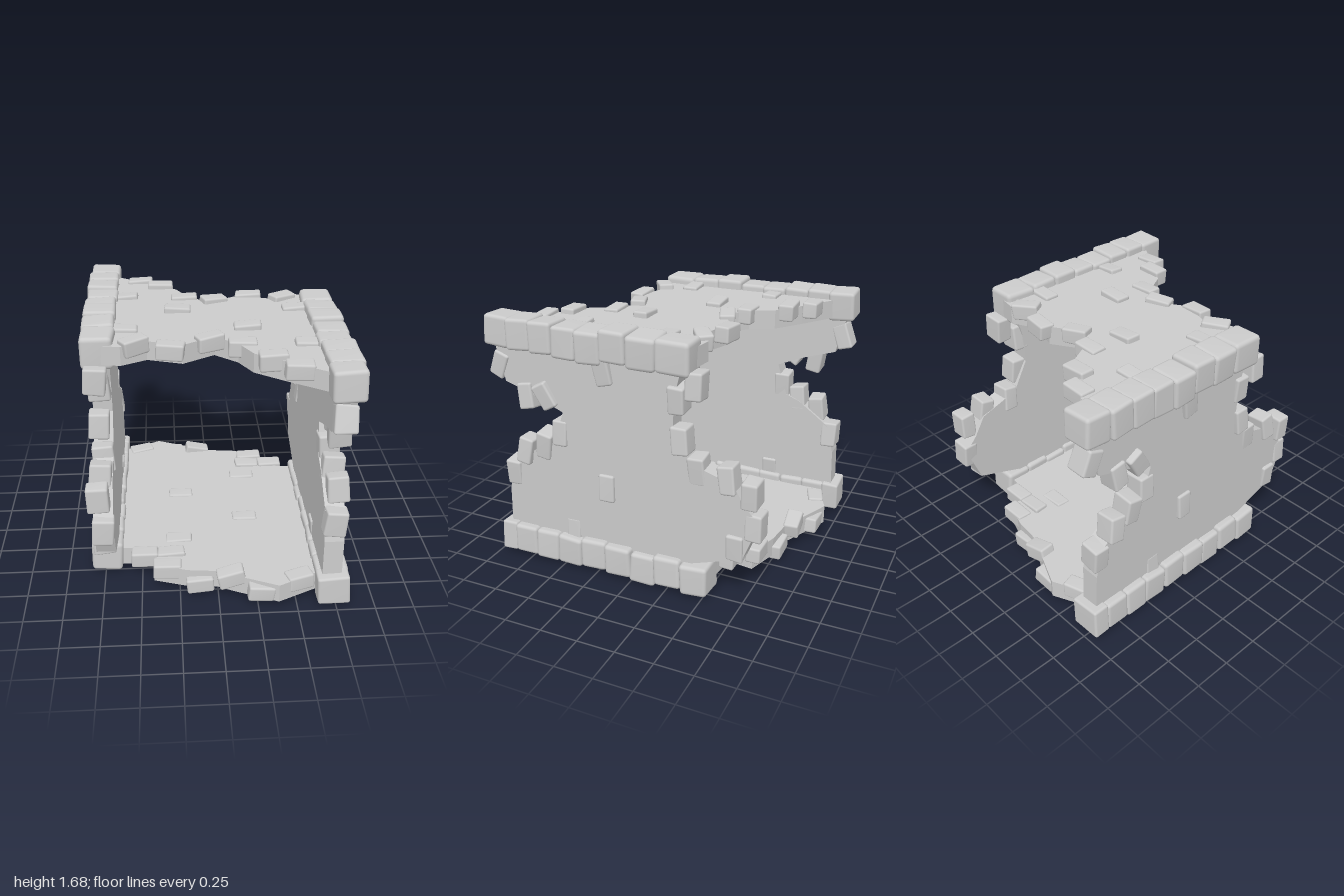
import * as THREE from 'three';
import { mergeVertices } from 'three/addons/utils/BufferGeometryUtils.js';
import { RoundedBoxGeometry } from 'three/addons/geometries/RoundedBoxGeometry.js';

const material = new THREE.MeshStandardMaterial({ color: 0xcccccc });
const deg = Math.PI / 180;

// Small seeded generator, returns 0..1
function seeded(seed) {
  return () => {
    seed = (seed * 16807) % 2147483647;
    return seed / 2147483647;
  };
}
const rand = seeded(4127);

// Rounded block whose eight corners are pulled slightly inwards
function stoneGeometry(w, h, d, wobble) {
  let geo = new RoundedBoxGeometry(w, h, d, 2, Math.min(w, h, d) * 0.14);
  geo.deleteAttribute('normal');
  geo.deleteAttribute('uv');
  geo = mergeVertices(geo, 1e-5);
  const pull = Array.from({ length: 8 }, () => [rand(), rand(), rand()].map((r) => 1 - r * wobble));
  const p = geo.attributes.position;
  for (let i = 0; i < p.count; i++) {
    const v = [p.getX(i), p.getY(i), p.getZ(i)];
    const t = [v[0] / w + 0.5, v[1] / h + 0.5, v[2] / d + 0.5];
    const s = [0, 0, 0];
    for (let c = 0; c < 8; c++) {
      const weight = [0, 1, 2].reduce((m, a) => m * ((c >> a) & 1 ? t[a] : 1 - t[a]), 1);
      for (let a = 0; a < 3; a++) s[a] += weight * pull[c][a];
    }
    p.setXYZ(i, v[0] * s[0], v[1] * s[1], v[2] * s[2]);
  }
  geo.computeVertexNormals();
  return geo;
}

function addStone(parent, name, size, pos, rot = [0, 0, 0], wobble = 0.14) {
  const mesh = new THREE.Mesh(stoneGeometry(...size, wobble), material);
  mesh.name = name;
  mesh.position.set(...pos);
  mesh.rotation.set(...rot);
  parent.add(mesh);
}

function slab(points, depth) {
  const shape = new THREE.Shape(points.map(([a, b]) => new THREE.Vector2(a, b)));
  return new THREE.ExtrudeGeometry(shape, { depth, bevelEnabled: false });
}

// Horizontal slab: front edge as (x, z), back edge is the same edge turned half round
function horizontalSlab(name, front, y, depth) {
  const outline = [...front, ...front.map(([x, z]) => [-x, -z])];
  const geo = slab(outline.map(([x, z]) => [x, -z]), depth);
  geo.rotateX(-Math.PI / 2);
  geo.translate(0, y, 0);
  const mesh = new THREE.Mesh(geo, material);
  mesh.name = name;
  return mesh;
}

// Row of big edge blocks along z, given the joints between them
function edgeRow(parent, name, joints, y) {
  for (let i = 0; i < joints.length - 1; i++) {
    const length = Math.abs(joints[i] - joints[i + 1]) + 0.015;
    const z = (joints[i] + joints[i + 1]) / 2;
    const k = rand() - 0.5;
    addStone(parent, name, [0.22, 0.215, length],
      [0.73 + k * 0.014, y + (rand() - 0.5) * 0.025, z],
      [k * 0.1, (rand() - 0.5) * 0.06, (rand() - 0.5) * 0.1], 0.1);
  }
}

export function createModel() {
  const model = new THREE.Group();
  model.name = 'ruinedStoneTunnel';

  // Broken roof and floor slabs
  model.add(horizontalSlab('roofSlab', [
    [-0.7, 0.41], [-0.58, 0.43], [-0.42, 0.35], [-0.2, 0.42], [0, 0.3],
    [0.14, 0.42], [0.22, 0.57], [0.4, 0.7], [0.7, 0.9],
  ], 1.52, 0.125));
  model.add(horizontalSlab('floorSlab', [
    [-0.7, 0.49], [-0.48, 0.51], [-0.4, 0.55], [-0.42, 0.69], [-0.2, 0.76],
    [0, 0.78], [0.1, 0.83], [0.38, 0.95], [0.7, 0.8],
  ], 0.07, 0.13));

  // One half of the tunnel; the other is this turned half round
  const half = new THREE.Group();
  half.name = 'tunnelHalf';

  // Side wall with broken ends, as (z, y)
  const wall = slab([
    [0.92, 0.15], [0.91, 0.5], [0.86, 0.7], [0.64, 0.86], [0.54, 0.9],
    [0.47, 1.12], [0.66, 1.2], [0.88, 1.27], [0.96, 1.58], [-0.36, 1.58],
    [-0.3, 1.35], [-0.29, 1.14], [-0.4, 0.94], [-0.68, 0.85], [-0.76, 0.72],
    [-0.85, 0.62], [-0.75, 0.36], [-0.42, 0.25], [-0.46, 0.15],
  ].reverse().map(([z, y]) => [-z, y]), 0.125);
  wall.rotateY(Math.PI / 2);
  wall.translate(0.655, 0, 0);
  const wallMesh = new THREE.Mesh(wall, material);
  wallMesh.name = 'sideWall';
  half.add(wallMesh);

  // Big blocks along the upper and lower corner edges
  edgeRow(half, 'upperEdgeBlock', [0.99, 0.82, 0.66, 0.5, 0.34, 0.17, 0, -0.19, -0.41], 1.595);
  edgeRow(half, 'lowerEdgeBlock', [0.97, 0.86, 0.7, 0.53, 0.36, 0.18, 0, -0.17, -0.35, -0.53], 0.145);

  // Wall stones: z, y, lean
  [
    [0.92, 1.38, -20], [0.73, 1.19, 10], [0.59, 1.22, 30], [0.5, 0.97, 0],
    [0.62, 0.87, -8], [0.76, 0.81, -8], [0.87, 0.63, 0], [0.17, 0.65, 0],
    [0.17, 1.44, 10], [0.43, 0.28, 0], [-0.31, 1.33, 0], [-0.34, 1.07, 5],
    [-0.44, 0.89, 5], [-0.64, 0.87, 8], [-0.79, 0.8, 0], [-0.81, 0.58, 0],
    [-0.7, 0.43, 0], [-0.43, 1.43, 0],
  ].forEach(([z, y, lean], i) => addStone(half, 'wallStone', [0.15, 0.19, 0.115],
    [0.72 + (i % 3) * 0.012, y, z], [lean * deg, 0, (i % 2 ? 4 : -4) * deg]));

  // Roof stones: x, z, turn
  [
    [-0.57, 0.16, 0], [-0.5, 0.36, 33], [-0.28, 0.43, -6], [-0.03, 0.33, 20],
    [0.17, 0.4, 0], [0.33, 0.63, 0], [0.47, 0.75, 0], [0.22, 0.16, 0], [0.57, 0.43, 0],
  ].forEach(([x, z, turn], i) => addStone(half, 'roofStone', [0.19, 0.115, 0.11],
    [x, 1.615 + (i % 2) * 0.01, z], [0, turn * deg, (i % 2 ? 3 : -3) * deg]));

  // Floor stones: x, y, z, turn, tilt
  [
    [-0.48, 0.17, 0.56, 0, 0], [-0.3, 0.17, 0.56, 0, 2], [-0.33, 0.165, 0.69, 0, -2],
    [-0.12, 0.1, 0.76, 0, 5], [0.08, 0.18, 0.81, 5, 14], [0.27, 0.12, 0.89, 0, -5],
    [0.52, 0.16, 0.84, 20, 0],
  ].forEach(([x, y, z, turn, tilt]) => addStone(half, 'floorStone', [0.19, 0.115, 0.115],
    [x, y, z], [0, turn * deg, tilt * deg]));
  addStone(half, 'floorStone', [0.19, 0.165, 0.11], [0.22, 0.135, 0.16]);
  addStone(half, 'floorStone', [0.19, 0.165, 0.11], [-0.25, 0.135, 0.4]);

  const otherHalf = half.clone();
  otherHalf.name = 'otherTunnelHalf';
  otherHalf.rotation.y = Math.PI;
  model.add(half, otherHalf);
  return model;
}
